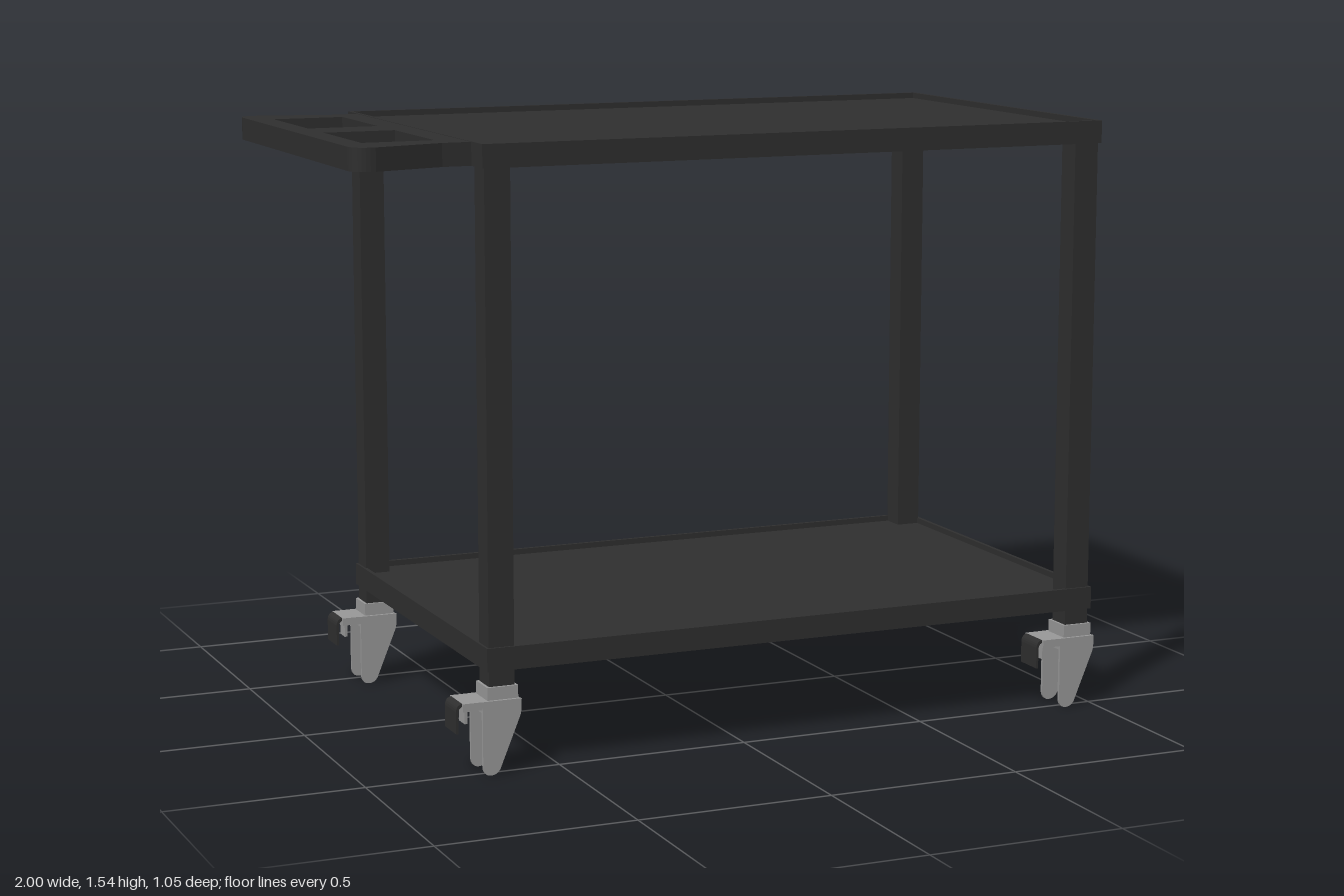
import * as THREE from 'three';

const dark = new THREE.MeshStandardMaterial({ color: 0x2f2f2f });
dark.name = 'charcoal';
const grey = new THREE.MeshStandardMaterial({ color: 0x999999 });
grey.name = 'casterGrey';

function add(parent, name, geometry, material) {
  const mesh = new THREE.Mesh(geometry, material);
  mesh.name = name;
  parent.add(mesh);
  return mesh;
}

// Box given by its lower and upper corner
function box(parent, name, material, [x0, y0, z0], [x1, y1, z1]) {
  const g = new THREE.BoxGeometry(x1 - x0, y1 - y0, z1 - z0);
  g.translate((x0 + x1) / 2, (y0 + y1) / 2, (z0 + z1) / 2);
  return add(parent, name, g, material);
}

function rect(PathType, x0, z0, x1, z1) {
  const p = new PathType();
  p.moveTo(x0, z0);
  p.lineTo(x1, z0);
  p.lineTo(x1, z1);
  p.lineTo(x0, z1);
  p.closePath();
  return p;
}

// Horizontal slab from an (x, z) outline, hanging down from height top
function slab(shape, top, depth) {
  const g = new THREE.ExtrudeGeometry(shape, { depth, bevelEnabled: false, curveSegments: 8 });
  return g.rotateX(Math.PI / 2).translate(0, top, 0);
}

// Shelf: thin rim around a slightly sunken plate
function makeShelf(name, bottom) {
  const shelf = new THREE.Group();
  shelf.name = name;
  const rim = rect(THREE.Shape, -0.692, -0.516, 0.992, 0.516);
  rim.holes.push(rect(THREE.Path, -0.682, -0.506, 0.982, 0.506));
  add(shelf, 'rim', slab(rim, bottom + 0.058, 0.058), dark);
  box(shelf, 'plate', dark, [-0.683, bottom + 0.005, -0.507], [0.983, bottom + 0.043, 0.507]);
  return shelf;
}

// Push handle: flared outline with rounded corners and two grip openings
function makeHandle() {
  const s = new THREE.Shape();
  s.moveTo(-0.692, -0.44);
  s.lineTo(-0.765, -0.44);
  s.lineTo(-0.945, -0.487);
  s.quadraticCurveTo(-1, -0.492, -1, -0.44);
  s.lineTo(-1, 0.44);
  s.quadraticCurveTo(-1, 0.492, -0.945, 0.487);
  s.lineTo(-0.765, 0.44);
  s.lineTo(-0.692, 0.44);
  s.closePath();
  for (const [a, b] of [[-0.363, -0.065], [0.065, 0.363]]) {
    s.holes.push(rect(THREE.Path, -0.94, a, -0.757, b));
  }
  return slab(s, 1.538, 0.057);
}

// Caster, origin on the floor below the leg centre
function makeCaster() {
  const c = new THREE.Group();
  c.name = 'caster';
  box(c, 'collar', grey, [-0.04, 0.18, -0.04], [0.04, 0.22, 0.04]);
  box(c, 'crown', grey, [-0.05, 0.155, -0.046], [0.044, 0.188, 0.046]);

  // Tapered fork cheeks
  const s = new THREE.Shape();
  s.moveTo(-0.055, 0.188);
  s.lineTo(-0.055, 0.03);
  s.quadraticCurveTo(-0.056, 0.002, -0.035, 0.002);
  s.quadraticCurveTo(-0.014, 0.002, -0.007, 0.025);
  s.lineTo(0.042, 0.145);
  s.quadraticCurveTo(0.046, 0.155, 0.046, 0.188);
  s.closePath();
  for (const z of [-0.048, 0.04]) {
    const g = new THREE.ExtrudeGeometry(s, { depth: 0.008, bevelEnabled: false, curveSegments: 6 });
    add(c, 'forkCheek', g.translate(0, 0, z), grey);
  }

  // Brake arm, tab and hooked pedal
  box(c, 'brakeArm', grey, [-0.105, 0.168, -0.047], [-0.05, 0.188, 0.047]);
  box(c, 'brakeTab', grey, [-0.092, 0.13, -0.02], [-0.084, 0.17, 0.02]);
  const p = new THREE.Shape();
  p.moveTo(-0.1, 0.188);
  p.quadraticCurveTo(-0.12, 0.188, -0.121, 0.168);
  p.lineTo(-0.121, 0.113);
  p.lineTo(-0.115, 0.113);
  p.lineTo(-0.115, 0.165);
  p.quadraticCurveTo(-0.114, 0.18, -0.1, 0.181);
  p.closePath();
  const pedal = new THREE.ExtrudeGeometry(p, { depth: 0.08, bevelEnabled: false, curveSegments: 6 });
  add(c, 'brakePedal', pedal.translate(0, 0, -0.04), dark);
  return c;
}

export function createModel() {
  const cart = new THREE.Group();
  cart.name = 'serviceCart';
  cart.add(makeShelf('lowerShelf', 0.259), makeShelf('upperShelf', 1.481));
  add(cart, 'handle', makeHandle(), dark);

  // Legs and casters at the four corners
  for (const x of [-0.653, 0.952]) {
    for (const z of [-0.477, 0.477]) {
      box(cart, 'leg', dark, [x - 0.033, 0.215, z - 0.033], [x + 0.033, 1.5, z + 0.033]);
      const caster = makeCaster();
      caster.position.set(x, 0, z);
      cart.add(caster);
    }
  }
  return cart;
}
